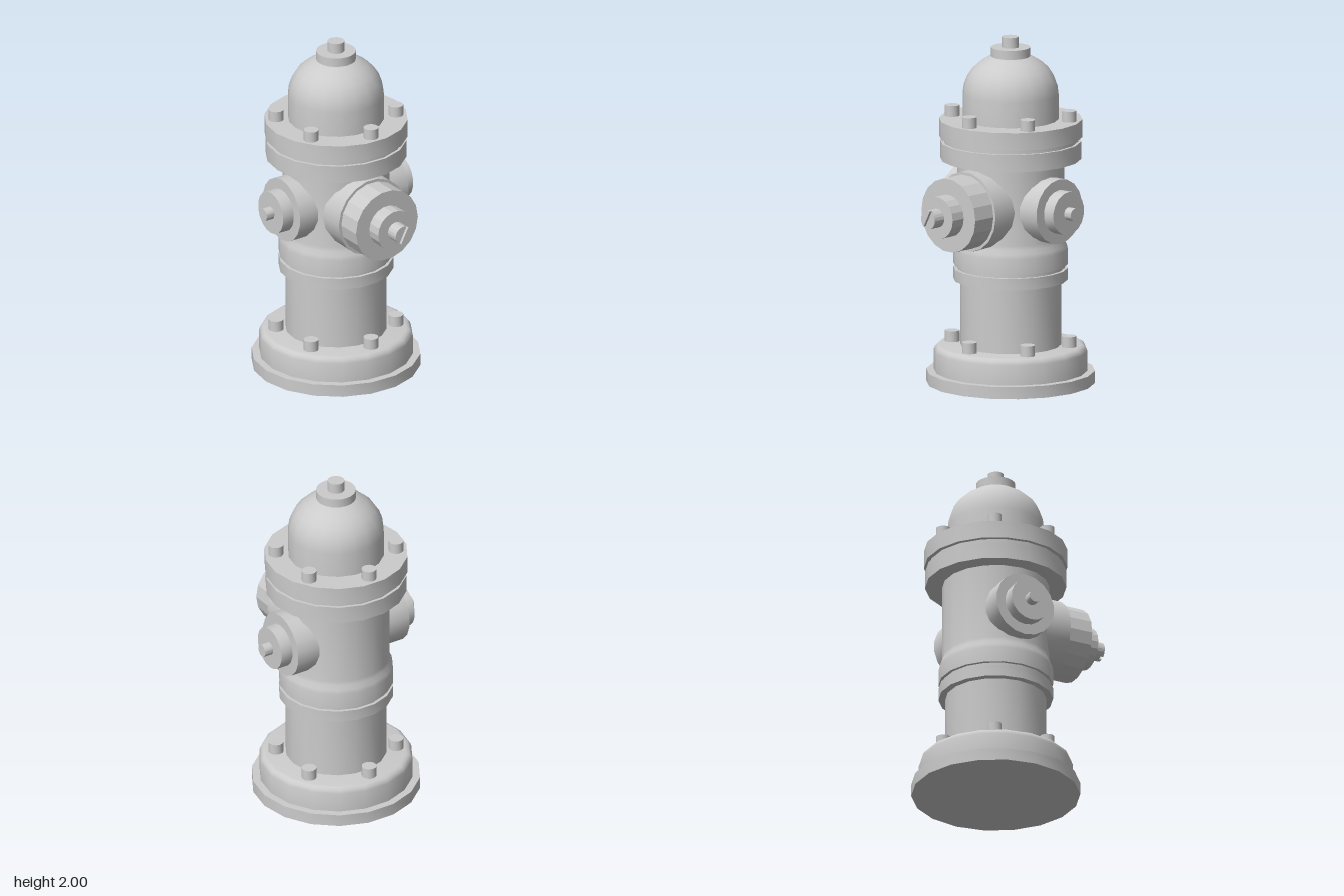
import * as THREE from 'three';
import { toCreasedNormals } from 'three/addons/utils/BufferGeometryUtils.js';

const SIDES = 18;
const AXIS_X = -0.006, AXIS_Z = -0.099, NOZZLE_Y = 1.04;

export function createModel() {
  const model = new THREE.Group();
  model.name = 'fireHydrant';
  const material = new THREE.MeshStandardMaterial({ color: 0xcccccc });

  const add = (name, geometry, parent = model) => {
    const mesh = new THREE.Mesh(geometry, material);
    mesh.name = name;
    parent.add(mesh);
    return mesh;
  };

  // Turned solid from [radius, height] pairs, with hard edges kept sharp
  const turned = (profile, sides = SIDES, crease = 0.6) => {
    const points = profile.map(([r, y]) => new THREE.Vector2(r, y));
    return toCreasedNormals(new THREE.LatheGeometry(points, sides, Math.PI / 2), crease);
  };

  // Upright parts share one axis
  const column = new THREE.Group();
  column.name = 'column';
  column.position.set(AXIS_X, 0, AXIS_Z);
  model.add(column);

  add('base', turned([
    [0, 0], [0.48, 0], [0.48, 0.07], [0.437, 0.07], [0.437, 0.185],
    [0.431, 0.203], [0.418, 0.216], [0.4, 0.22], [0, 0.22],
  ]), column);

  add('lowerBarrel', turned([[0, 0.2], [0.288, 0.2], [0.288, 0.62], [0, 0.62]]), column);

  add('middleRing', turned([
    [0, 0.597], [0.326, 0.597], [0.326, 0.664], [0.308, 0.664], [0.308, 0.7], [0, 0.7],
  ]), column);

  add('upperBarrel', turned([
    [0, 0.686], [0.326, 0.686], [0.326, 0.775], [0.321, 0.8],
    [0.309, 0.825], [0.305, 0.85], [0.305, 1.31], [0, 1.31],
  ]), column);

  add('flange', turned([
    [0, 1.297], [0.402, 1.297], [0.402, 1.398], [0.385, 1.398], [0.385, 1.423],
    [0.408, 1.423], [0.408, 1.526], [0, 1.526],
  ]), column);

  add('dome', turned([
    [0, 1.5], [0.274, 1.5], [0.274, 1.67], [0.268, 1.72], [0.25, 1.77],
    [0.222, 1.813], [0.182, 1.85], [0.13, 1.882], [0.1, 1.893], [0, 1.9],
  ]), column);

  add('topCap', turned([
    [0, 1.88], [0.113, 1.88], [0.113, 1.94], [0.048, 1.94], [0.048, 2], [0, 2],
  ], 24), column);

  // Six bolts on the base and six on the flange
  const boltGeometry = turned([[0, -0.01], [0.042, -0.01], [0.042, 0.062], [0, 0.062]], 20);
  for (const [name, y] of [['baseBolt', 0.22], ['flangeBolt', 1.526]]) {
    for (let i = 0; i < 6; i++) {
      const a = (i * Math.PI) / 3 + 0.015;
      add(name, boltGeometry, column).position.set(Math.sin(a) * 0.341, y, Math.cos(a) * 0.341);
    }
  }

  // Large front outlet, turned along +z
  const front = new THREE.Group();
  front.name = 'frontOutlet';
  front.position.set(AXIS_X, NOZZLE_Y, 0);
  model.add(front);
  add('frontCollar', turned([[0, 0], [0.23, 0], [0.23, 0.262], [0, 0.262]]), front).rotation.x = Math.PI / 2;
  add('frontCap', turned([
    [0, 0.25], [0.213, 0.25], [0.213, 0.408], [0.121, 0.408], [0.121, 0.497],
    [0.054, 0.497], [0.054, 0.557], [0, 0.557],
  ], SIDES, 0.2), front).rotation.x = Math.PI / 2;

  // Slotted tip: two circle segments either side of a slanted groove
  const a = Math.asin(0.01 / 0.054);
  const half = new THREE.Shape();
  half.absarc(0, 0, 0.054, a, Math.PI - a, false);
  half.closePath();
  const halfGeometry = toCreasedNormals(
    new THREE.ExtrudeGeometry(half, { depth: 0.018, bevelEnabled: false, curveSegments: 9 }), 0.6);
  for (const turn of [0, Math.PI]) {
    const tip = add('slottedTip', halfGeometry, front);
    tip.position.z = 0.556;
    tip.rotation.z = 1.1 + turn;
  }

  // Matching outlets on both sides
  const sideGeometry = turned([
    [0, 0.15], [0.187, 0.15], [0.187, 0.374], [0.125, 0.374], [0.125, 0.448],
    [0.037, 0.448], [0.037, 0.5], [0, 0.5],
  ]);
  for (const [name, s] of [['leftOutlet', 1], ['rightOutlet', -1]]) {
    const outlet = add(name, sideGeometry);
    outlet.position.set(-0.002, NOZZLE_Y, -0.108);
    outlet.rotation.z = (-s * Math.PI) / 2;
  }

  return model;
}
